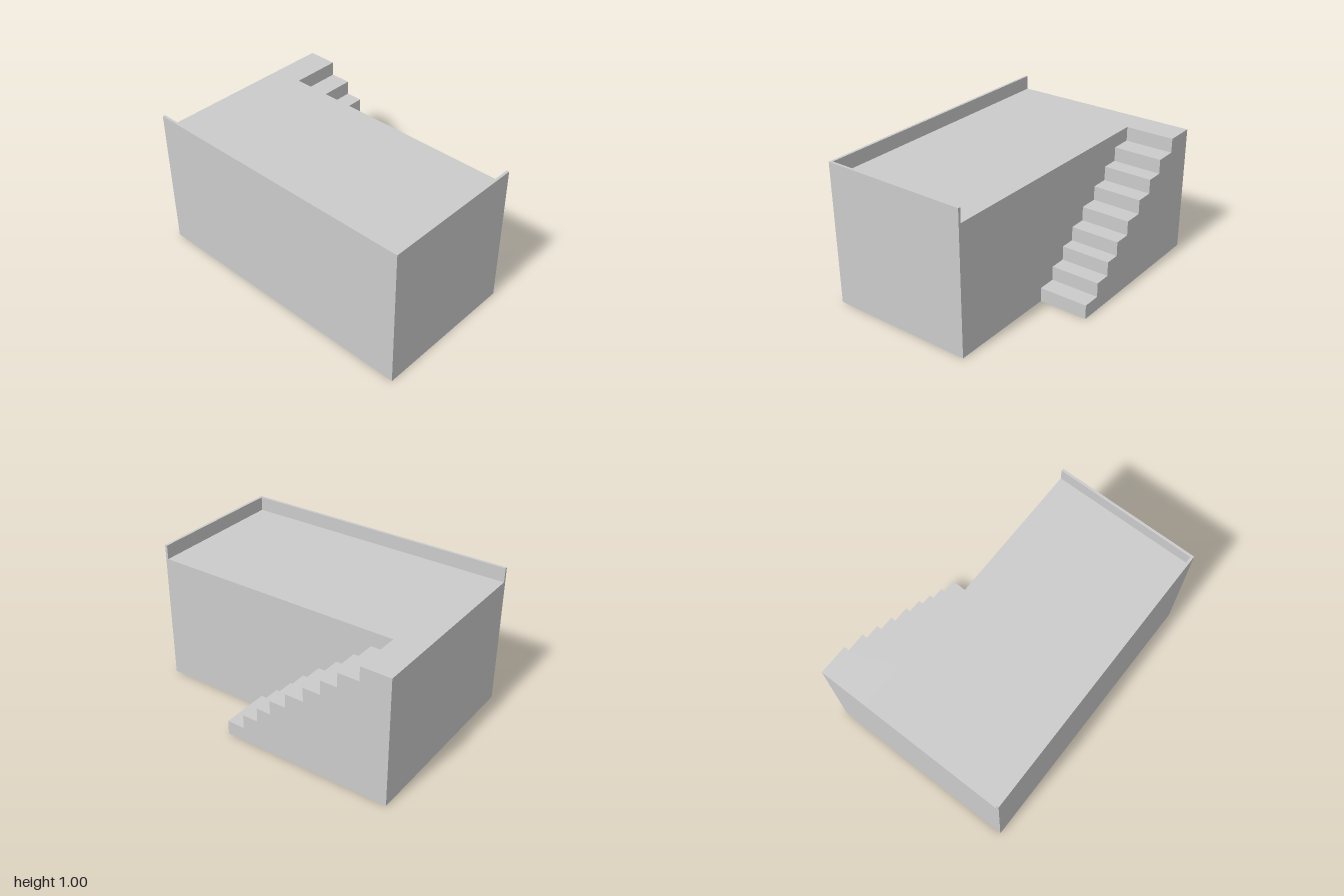
import * as THREE from 'three';

const X0 = -0.69, X1 = 0.34, X2 = 0.69; // outer wall, stair wall, outer stair side
const DECK = 0.905, TOP = 1.005, WALL = 0.018;

const material = new THREE.MeshStandardMaterial({ color: 0xcccccc, flatShading: true });

function extrude(name, points, depth) {
  const shape = new THREE.Shape(points.map(([x, y]) => new THREE.Vector2(x, y)));
  const geometry = new THREE.ExtrudeGeometry(shape, { depth, bevelEnabled: false });
  const mesh = new THREE.Mesh(geometry, material);
  mesh.name = name;
  return mesh;
}

export function createModel() {
  const model = new THREE.Group();
  model.name = 'raisedPlatform';

  // Solid block under the deck
  const block = new THREE.Mesh(new THREE.BoxGeometry(X1 - X0, DECK, 2), material);
  block.position.set((X0 + X1) / 2, DECK / 2, 0);
  block.name = 'platformBlock';
  model.add(block);

  // Thin L-shaped parapet along the -x side and the front (plan drawn as x, -z)
  const parapet = extrude('parapet', [
    [X0, -1], [X1, -1], [X1, -1 + WALL], [X0 + WALL, -1 + WALL], [X0 + WALL, 1], [X0, 1],
  ], TOP - DECK);
  parapet.geometry.rotateX(-Math.PI / 2);
  parapet.position.y = DECK;
  model.add(parapet);

  // Side staircase with uneven treads, ending in a landing level with the deck
  const risers = [0.21, 0.08, -0.035, -0.14, -0.26, -0.395, -0.52, -0.64, -0.79];
  const profile = [];
  const rise = DECK / risers.length;
  risers.forEach((z, i) => profile.push([-z, i * rise], [-z, (i + 1) * rise]));
  profile.push([1, DECK], [1, 0]);
  const stairs = extrude('staircase', profile, X2 - X1);
  stairs.geometry.rotateY(Math.PI / 2);
  stairs.position.x = X1;
  model.add(stairs);

  return model;
}
